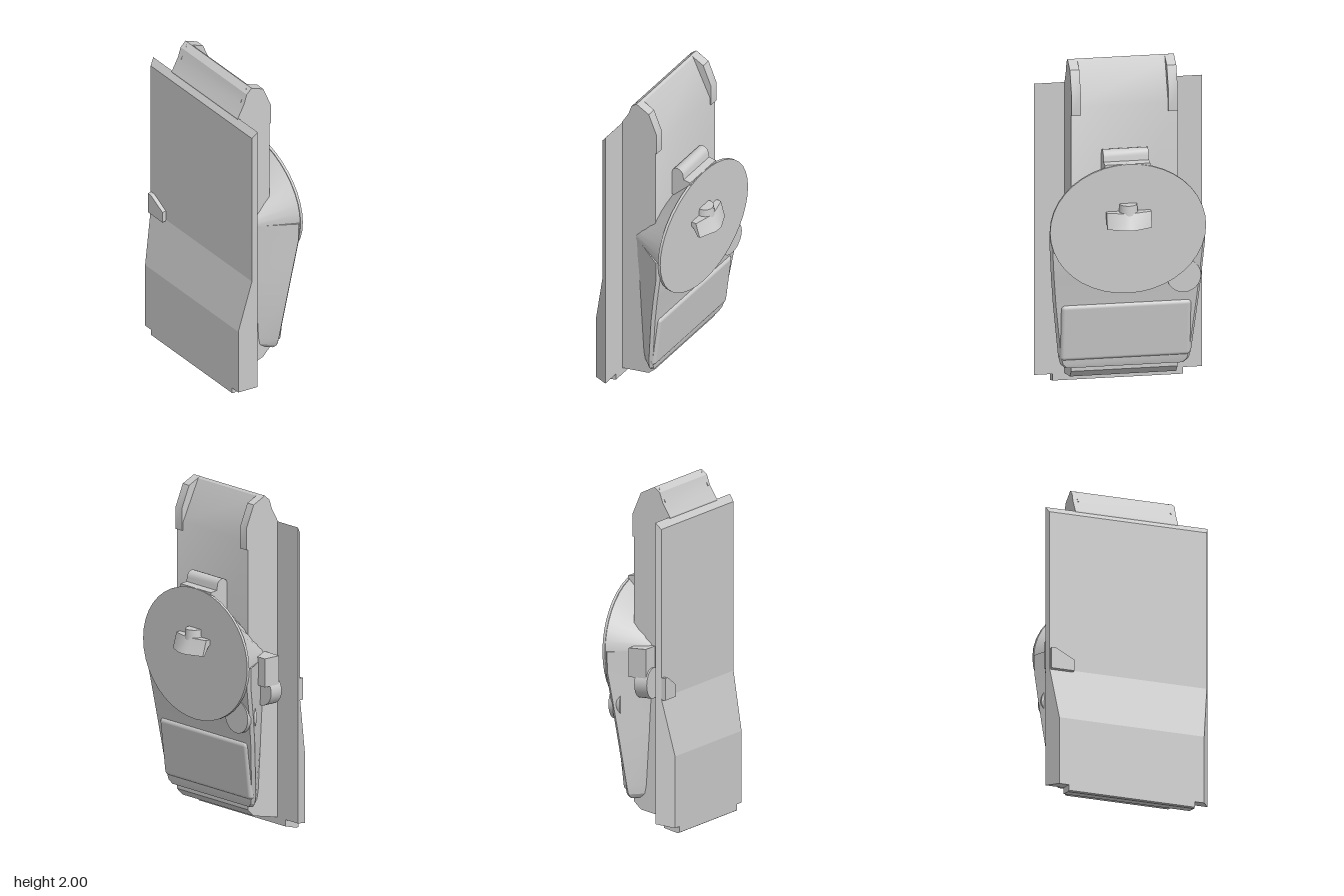
import * as THREE from 'three';
import { toCreasedNormals } from 'three/addons/utils/BufferGeometryUtils.js';
import { RoundedBoxGeometry } from 'three/addons/geometries/RoundedBoxGeometry.js';

const material = new THREE.MeshStandardMaterial({ color: 0xcccccc });

function part(name, geometry, parent) {
  const mesh = new THREE.Mesh(geometry, material);
  mesh.name = name;
  parent.add(mesh);
  return mesh;
}

// Closed skin over rings of [x, y, z] points, capped at both ends, turned outward
function loft(rings, crease = 0.5) {
  const n = rings[0].length, tris = [];
  for (let r = 0; r < rings.length - 1; r++) {
    for (let i = 0; i < n; i++) {
      const j = (i + 1) % n, a = rings[r], b = rings[r + 1];
      tris.push([a[i], a[j], b[j]], [a[i], b[j], b[i]]);
    }
  }
  const first = rings[0], last = rings[rings.length - 1];
  for (let i = 1; i < n - 1; i++) {
    tris.push([first[0], first[i + 1], first[i]], [last[0], last[i], last[i + 1]]);
  }
  let volume = 0;
  const v = tris.map(t => t.map(p => new THREE.Vector3(...p)));
  for (const [a, b, c] of v) volume += a.dot(b.clone().cross(c));
  const points = v.flatMap(([a, b, c]) => (volume > 0 ? [a, b, c] : [a, c, b]));
  const geometry = new THREE.BufferGeometry().setFromPoints(points);
  geometry.computeVertexNormals();
  return toCreasedNormals(geometry, crease);
}

// Side profile of [z, y] points extruded from x0 to x1
function sideProfile(points, x0, x1) {
  const shape = new THREE.Shape(points.map(p => new THREE.Vector2(...p)));
  const geometry = new THREE.ExtrudeGeometry(shape, { depth: x1 - x0, bevelEnabled: false });
  geometry.rotateY(-Math.PI / 2).translate(x1, 0, 0);
  return toCreasedNormals(geometry, 0.5);
}

function ellipse(rx, ry, cy, z, n = 40) {
  return Array.from({ length: n }, (_, i) => {
    const a = (i / n) * Math.PI * 2;
    return [rx * Math.cos(a), cy + ry * Math.sin(a), z];
  });
}

export function createModel() {
  const model = new THREE.Group();
  model.name = 'device';

  // Front cover with bevelled sides and a thicker lower half
  const cover = [
    [0.04, 0.065, 0.28, 0.437], [0.46, 0.46, 0.28, 0.437],
    [0.8, 0.8, 0.21, 0.475], [1.79, 1.83, 0.21, 0.475],
  ].map(([yf, yb, zf, w]) => [[-w, yf, zf], [w, yf, zf], [0.49, yb, 0.18], [-0.49, yb, 0.18]]);
  part('frontCover', loft(cover, 0.05), model);
  part('bottomLip', sideProfile([[0.28, 0.045], [0.28, 0.005], [0.27, 0], [0.18, 0.025], [0.18, 0.07]], -0.38, 0.38), model);

  // Core housing with a sloped top
  part('coreHousing', sideProfile([
    [0.185, 0.065], [0.185, 1.83], [0.14, 1.91], [0.12, 1.97], [0.085, 2],
    [0.07, 1.99], [-0.045, 1.75], [-0.045, 0.15], [0, 0.105],
  ], -0.31, 0.31), model);

  // Raised cheeks and narrow slots at the top corners
  for (const s of [-1, 1]) {
    const x = s * 0.2825;
    part('topCheek', sideProfile([
      [0.1, 1.9], [0.11, 1.975], [0.085, 2], [0, 1.96], [-0.055, 1.83], [-0.055, 1.7], [0, 1.7],
    ], x - 0.0275, x + 0.0275), model);
    part('topSlot', sideProfile([[0.1, 1.995], [0.145, 1.91], [0.12, 1.91]], s * 0.28 - 0.003, s * 0.28 + 0.003), model);
  }

  // Rear body, tapering downward, with chamfered back corners
  const body = [
    [0.175, 0, -0.058, 0.35], [0.2, 0.03, -0.066, 0.375], [0.25, 0.04, -0.07, 0.388],
    [0.58, 0.06, -0.11, 0.425], [0.75, 0.07, -0.135, 0.44], [0.92, 0.085, -0.163, 0.452], [1.04, 0.09, -0.165, 0.455],
  ].map(([y, zf, zb, w]) => [
    [-0.305, y, zf], [0.305, y, zf], [w, y, zb + 0.018], [w - 0.015, y, zb], [0.015 - w, y, zb], [-w, y, zb + 0.018],
  ]);
  part('rearBody', loft(body, 0.3), model);

  // Oval rear dial on its flared base
  part('dialFlare', loft([ellipse(0.31, 0.12, 1.04, 0.09), ellipse(0.45, 0.385, 1.04, -0.16)]), model);
  part('dialFace', loft([ellipse(0.455, 0.39, 1.04, -0.16), ellipse(0.455, 0.39, 1.04, -0.176)]), model);

  // Raised pad below the dial
  const pad = part('rearPad', new RoundedBoxGeometry(0.76, 0.35, 0.05, 3, 0.024), model);
  pad.position.set(0, 0.4, -0.078);
  pad.rotation.x = -0.12;

  // Small round boss beside the pad
  const boss = part('rearBoss', new THREE.CylinderGeometry(0.1, 0.1, 0.07, 24), model);
  boss.rotation.x = Math.PI / 2;
  boss.position.set(-0.33, 0.73, -0.115);

  // Rounded hinge above the dial
  const hinge = [[-0.17, 1.3], [-0.17, 1.43], [-0.125, 1.435]];
  for (let i = 0; i <= 8; i++) {
    const a = Math.PI * (1 - i / 8);
    hinge.push([-0.0825 - 0.0375 * -Math.cos(a), 1.46 + 0.038 * Math.sin(a)]);
  }
  // the arc runs from the back edge to the front edge
  const arc = hinge.splice(3).sort((a, b) => a[0] - b[0]);
  part('topHinge', sideProfile([...hinge, ...arc, [-0.04, 1.3]], -0.13, 0.135), model);

  // Peaked, drooping lever and its post
  const leverSide = [[-0.005, 1.15], [0.06, 1.15], [0.08, 1.11], [0.107, 1.06], [0.08, 1.06], [0.05, 1.1], [-0.005, 1.125]];
  const lever = [[-0.13, 0.56], [-0.12, 0.62], [-0.03, 0.98], [0, 1], [0.03, 0.98], [0.12, 0.62], [0.13, 0.56]]
    .map(([x, f]) => leverSide.map(([d, y]) => [x, y, -0.172 - d * f]));
  part('dialLever', loft(lever), model);
  const post = part('leverPost', new THREE.CylinderGeometry(0.05, 0.058, 0.07, 20), model);
  post.position.set(0, 1.16, -0.183);

  // Side catch: block, round knob and the tab reaching the front
  const block = part('sideCatchBlock', new THREE.BoxGeometry(0.13, 0.17, 0.11), model);
  block.position.set(-0.365, 0.985, 0.035);
  const knob = part('sideCatchKnob', new THREE.CylinderGeometry(0.09, 0.09, 0.08, 24), model);
  knob.rotation.x = Math.PI / 2;
  knob.position.set(-0.35, 0.86, 0.06);
  const tabShape = new THREE.Shape([[-0.47, 0.79], [-0.333, 0.79], [-0.333, 0.86], [-0.44, 0.92], [-0.47, 0.92]]
    .map(p => new THREE.Vector2(...p)));
  const tab = part('frontTab', new THREE.ExtrudeGeometry(tabShape, { depth: 0.045, bevelEnabled: false }), model);
  tab.position.z = 0.19;

  return model;
}
